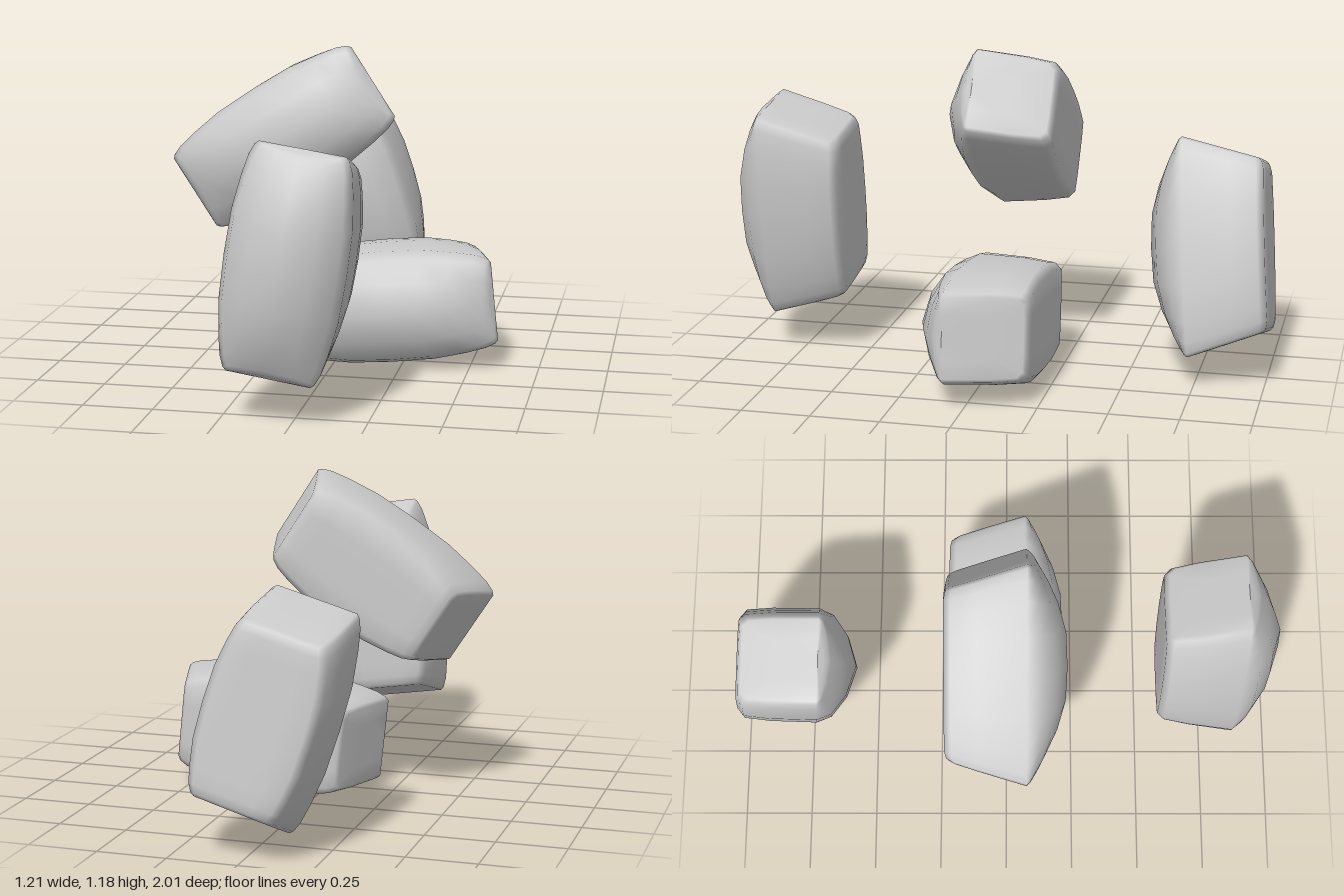
import * as THREE from 'three';

// Right half of the block's cross-section [width, depth], back to front.
const HALF = [[0, -0.22], [0.09, -0.22], [0.17, -0.218], [0.198, -0.195], [0.207, -0.1],
  [0.208, 0.07], [0.185, 0.125], [0.11, 0.18], [0, 0.215]];
const RING = [...HALF, ...HALF.slice(1, -1).reverse().map(([w, z]) => [-w, z])];

// Rows from middle to end: [position, width scale, front bulge, back scale, cap shrink].
const ROWS = [[0, 1, 1, 1, 1], [0.4, 0.98, 0.96, 1, 1], [0.7, 0.9, 0.76, 1, 1], [0.88, 0.83, 0.52, 1, 1],
  [0.97, 0.76, 0.33, 0.97, 1], [1, 0.7, 0.25, 0.92, 1], [1, 0.7, 0.25, 0.92, 0.55], [1, 0.7, 0.25, 0.92, 0]];

// The ends slope back from a ridge just in front of the middle.
const RIDGE = 0.07;
const halfLength = (z) => z < RIDGE
  ? THREE.MathUtils.mapLinear(z, -0.22, RIDGE, 0.305, 0.395)
  : 0.395 - 0.6 * (z - RIDGE);

function blockGeometry() {
  const rows = [
    ...ROWS.slice(1).reverse().map((r) => [-1, ...r]),
    ...ROWS.map((r) => [1, ...r]),
  ];
  const pos = [], index = [], n = RING.length;
  rows.forEach(([side, s, width, bulge, back, shrink], i) => {
    RING.forEach(([w, z0], j) => {
      let z = z0 > RIDGE ? RIDGE + (z0 - RIDGE) * bulge : z0 < 0 ? z0 * back : z0;
      z = RIDGE + (z - RIDGE) * shrink;
      pos.push(w * width * shrink, side * s * halfLength(z), z);
      if (i === rows.length - 1) return;
      const a = i * n + j, b = i * n + (j + 1) % n;
      index.push(a, a + n, b, b, a + n, b + n);
    });
  });
  const g = new THREE.BufferGeometry();
  g.setAttribute('position', new THREE.Float32BufferAttribute(pos, 3));
  g.setIndex(index);
  g.computeVertexNormals();
  return g;
}

export function createModel() {
  const group = new THREE.Group();
  const geometry = blockGeometry();
  const material = new THREE.MeshStandardMaterial({ color: 0xcccccc });

  // Four copies of one block: name, centre, tilt about x and z in degrees.
  const blocks = [
    ['lowerBlock', [0.197, 0.21, 0], 0, -84],
    ['upperBlock', [-0.19, 0.825, 0], 0, -57],
    ['frontBlock', [-0.01, 0.545, 0.785], 0, -8.8],
    ['backBlock', [-0.06, 0.455, -0.77], 5, 16],
  ];
  for (const [name, centre, tiltX, tiltZ] of blocks) {
    const block = new THREE.Mesh(geometry, material);
    block.name = name;
    block.position.set(...centre);
    block.rotation.set(THREE.MathUtils.degToRad(tiltX), 0, THREE.MathUtils.degToRad(tiltZ));
    group.add(block);
  }
  return group;
}
